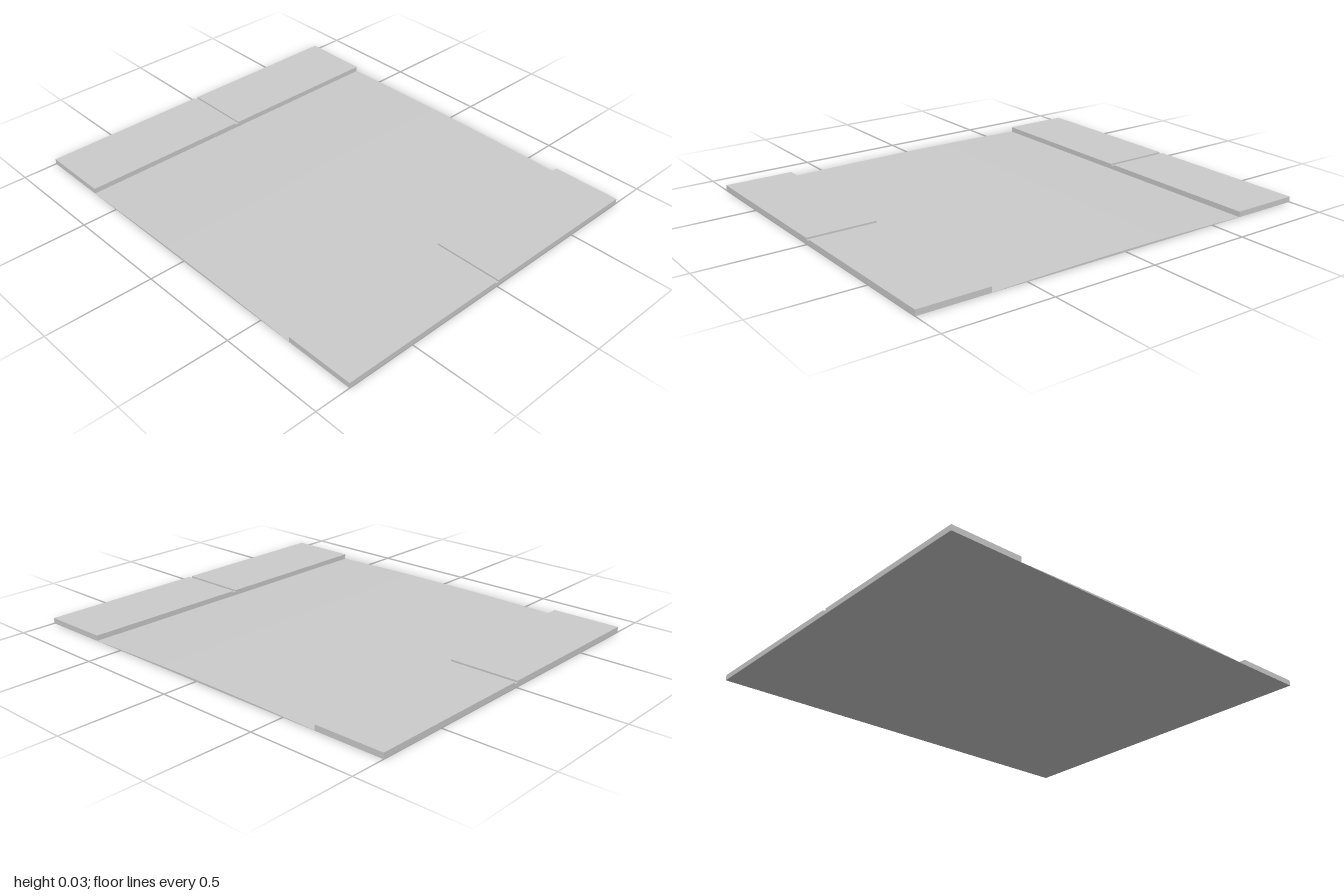
import * as THREE from 'three';

const HALF_W = 0.833, CURB_Z = 0.667, WALK_H = 0.026;
const material = new THREE.MeshStandardMaterial({ color: 0xcccccc });

function extrude(points, depth) {
  const shape = new THREE.Shape(points.map(([x, y]) => new THREE.Vector2(x, y)));
  return new THREE.ExtrudeGeometry(shape, { depth, bevelEnabled: false });
}

export function createModel() {
  const group = new THREE.Group();
  const add = (name, geometry) => {
    const mesh = new THREE.Mesh(geometry, material);
    mesh.name = name;
    group.add(mesh);
    return mesh;
  };

  // Road: gently crowned profile, flat underneath, extruded across the width
  const profile = [[-CURB_Z, 0], [CURB_Z, 0]];
  const steps = 12;
  for (let i = 0; i <= steps; i++) {
    const t = 1 - (2 * i) / steps;
    profile.push([t * CURB_Z, 0.001 + 0.008 * (1 - t * t)]);
  }
  const road = extrude(profile, 2 * HALF_W);
  road.translate(0, 0, -HALF_W).rotateY(Math.PI / 2);
  add('road', road);

  // Sidewalks: raised slabs with an expansion joint cut across the middle
  const g = 0.01, jointY = 0.018;
  const section = [
    [-HALF_W, 0], [HALF_W, 0], [HALF_W, WALK_H], [g, WALK_H],
    [g, jointY], [-g, jointY], [-g, WALK_H], [-HALF_W, WALK_H],
  ];
  const walk = extrude(section, 1 - CURB_Z);
  add('frontSidewalk', walk).position.z = CURB_Z;
  add('backSidewalk', walk).position.z = -1;

  return group;
}
